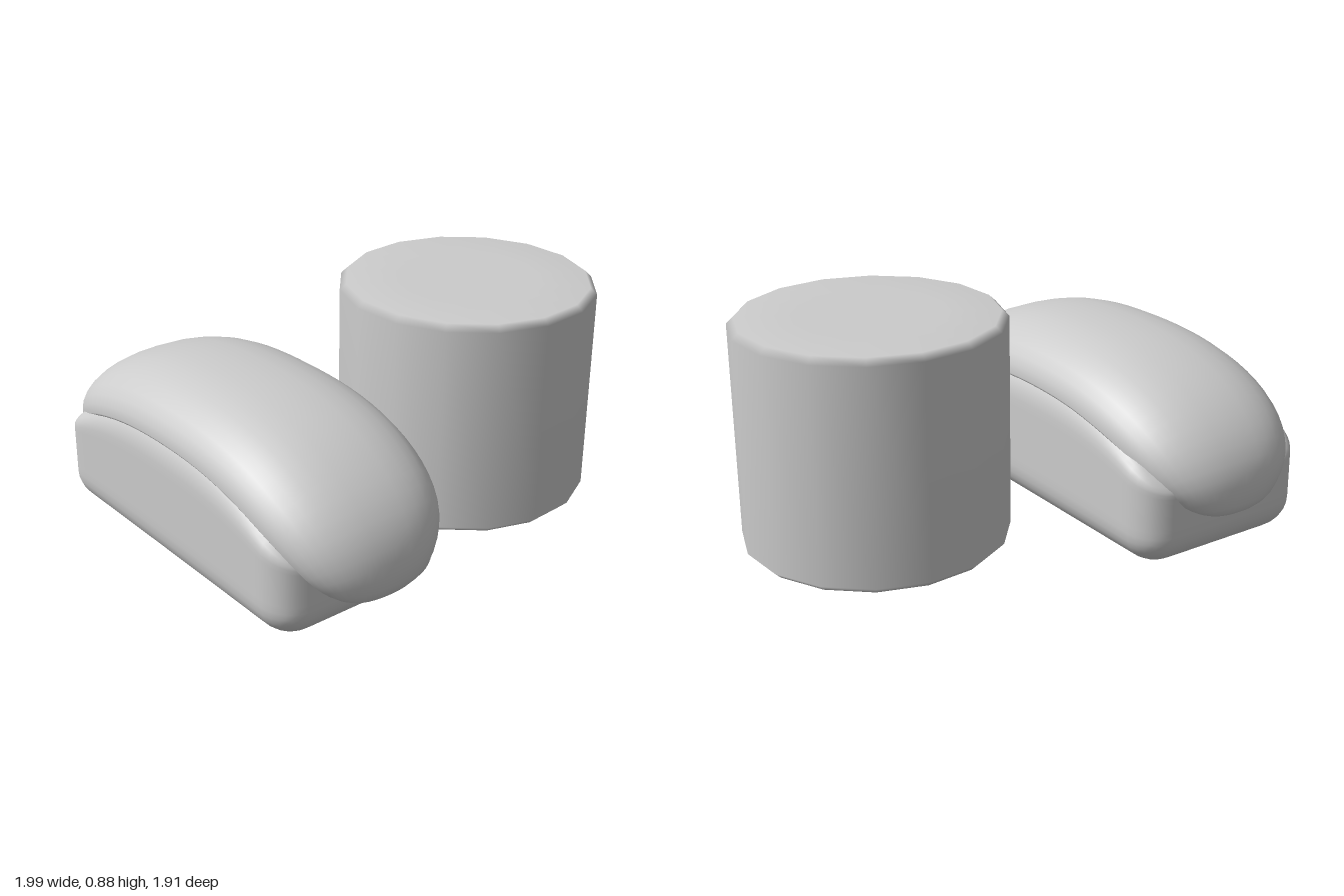
import * as THREE from 'three';
import { mergeVertices } from 'three/addons/utils/BufferGeometryUtils.js';

const material = new THREE.MeshStandardMaterial({ color: 0xcccccc });

function part(name, geometry) {
  const mesh = new THREE.Mesh(geometry, material);
  mesh.name = name;
  return mesh;
}

// Sixteen-sided roll with a small bevel at each rim
function rollGeometry() {
  const profile = [[0, 0.008], [0.27, 0.008], [0.485, 0.008], [0.511, 0.033], [0.511, 0.86], [0.485, 0.885], [0.27, 0.885], [0, 0.885]];
  return new THREE.LatheGeometry(profile.map(([x, y]) => new THREE.Vector2(x, y)), 16);
}

// Rounded block whose upper half sinks towards both ends
function riceGeometry() {
  const half = new THREE.Vector3(0.735, 0.29, 0.38);
  const r = 0.14;
  const core = half.clone().subScalar(r);
  const low = core.clone().negate();
  let g = new THREE.BoxGeometry(half.x * 2, half.y * 2, half.z * 2, 36, 16, 20);
  g.deleteAttribute('uv');
  g.deleteAttribute('normal');
  g = mergeVertices(g);
  const pos = g.attributes.position;
  const p = new THREE.Vector3();
  const c = new THREE.Vector3();
  for (let i = 0; i < pos.count; i++) {
    p.fromBufferAttribute(pos, i);
    c.copy(p).clamp(low, core);
    p.sub(c).setLength(r).add(c);
    const y = p.y + half.y;
    const sink = 0.42 * Math.pow(Math.abs(p.x) / half.x, 2.5);
    pos.setXYZ(i, p.x - 0.035, y * (1 - sink * y / (2 * half.y)), p.z);
  }
  g.computeVertexNormals();
  return g;
}

// Domed slice swept along a drooping arc, tapering to rounded tips
function sliceGeometry() {
  const spine = new THREE.CatmullRomCurve3([
    [-0.78, 0.17], [-0.77, 0.24], [-0.71, 0.34], [-0.58, 0.43], [-0.33, 0.505], [0, 0.53],
    [0.28, 0.51], [0.48, 0.455], [0.66, 0.35], [0.745, 0.23], [0.755, 0.13],
  ].map(([x, y]) => new THREE.Vector3(x, y, 0)));
  const rings = 48;
  const sides = 32;
  const positions = [];
  const index = [];
  for (let i = 0; i <= rings; i++) {
    // Rings crowd together at the tips so that they stay round
    const s = -Math.cos(Math.PI * i / rings);
    const t = (s + 1) / 2;
    const p = spine.getPointAt(t);
    const d = spine.getTangentAt(t);
    const a = Math.abs(s);
    const width = 0.375 * Math.sqrt(Math.max(0, 1 - a ** 5));
    const taper = Math.sqrt(Math.max(0, 1 - a ** 3.5));
    for (let j = 0; j < sides; j++) {
      const angle = 2 * Math.PI * j / sides;
      const cos = Math.cos(angle);
      const sin = Math.sin(angle);
      const lift = taper * sin * (sin > 0 ? 0.197 : 0.05);
      const z = width * Math.sign(cos) * Math.abs(cos) ** 0.85;
      positions.push(p.x - d.y * lift, p.y + d.x * lift, z);
      if (i < rings) {
        const k = i * sides + j;
        const next = i * sides + (j + 1) % sides;
        index.push(k, k + sides, next, next, k + sides, next + sides);
      }
    }
  }
  const g = new THREE.BufferGeometry();
  g.setAttribute('position', new THREE.Float32BufferAttribute(positions, 3));
  g.setIndex(index);
  const merged = mergeVertices(g);
  merged.computeVertexNormals();
  return merged;
}

export function createModel() {
  const model = new THREE.Group();
  model.name = 'sushiPair';

  const roll = part('roll', rollGeometry());
  roll.position.set(0.485, 0, -0.44);

  // Rice block with its topping, turned across the plate
  const nigiri = new THREE.Group();
  nigiri.name = 'nigiri';
  nigiri.add(part('rice', riceGeometry()), part('fishSlice', sliceGeometry()));
  nigiri.position.set(-0.21, 0, 0.272);
  nigiri.rotation.y = -0.657;

  model.add(roll, nigiri);
  return model;
}
